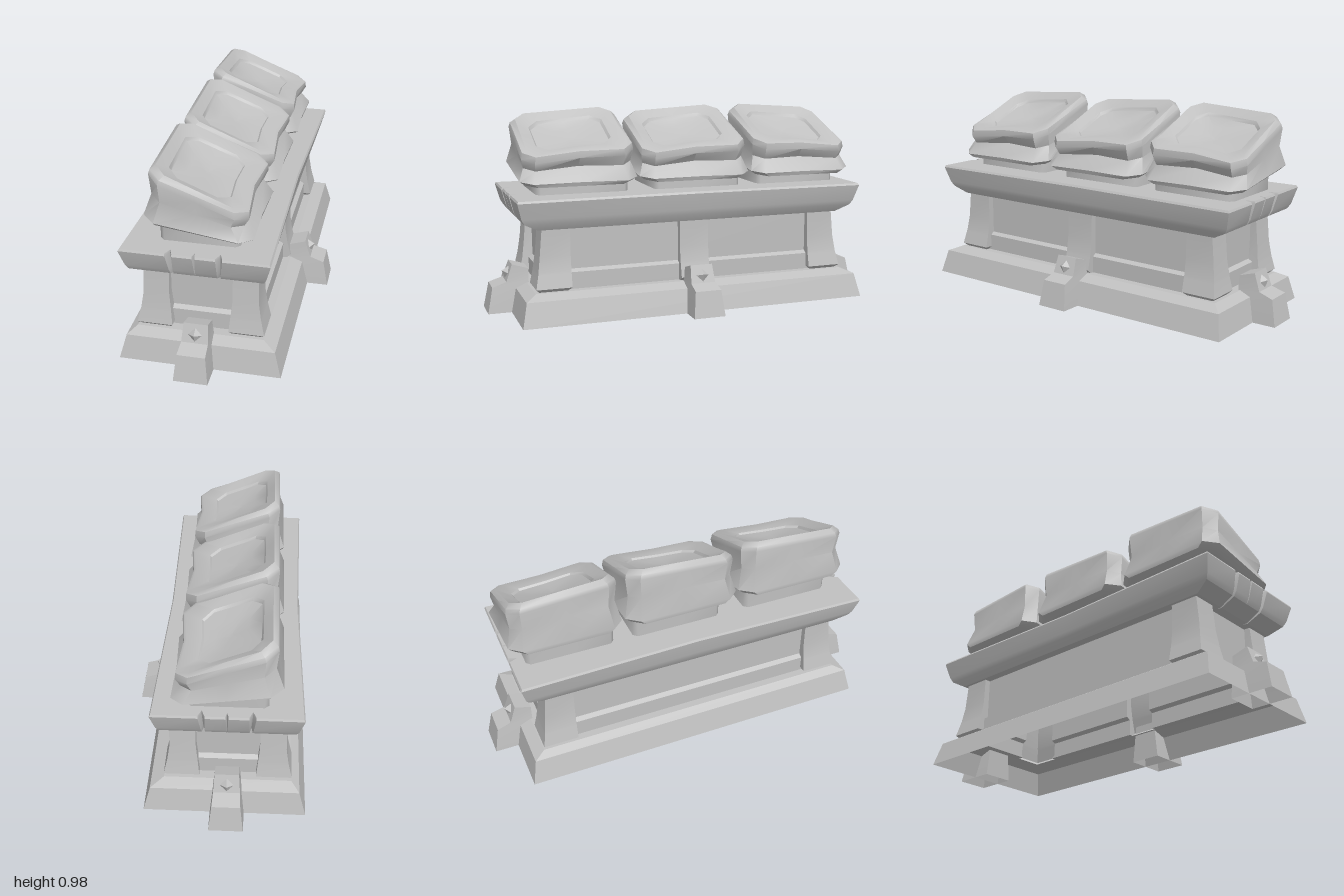
import * as THREE from 'three';
import { toCreasedNormals } from 'three/addons/utils/BufferGeometryUtils.js';

const CX = -0.067; // centre line of the plinth, which is offset by the side buttress

// Skin a stack of rings (each counter-clockwise from above), optionally closing the ends
function loft(rings, { bottom = true, top = true, crease = 0.35 } = {}) {
  const n = rings[0].length, pos = rings.flat(2), index = [];
  for (let r = 0; r < rings.length - 1; r++) {
    for (let i = 0; i < n; i++) {
      const j = (i + 1) % n, a = r * n + i, b = r * n + j;
      index.push(a, b, b + n, a, b + n, a + n);
    }
  }
  const cap = (r, flip) => {
    for (const [a, b, c] of THREE.ShapeUtils.triangulateShape(plan(rings[r]), [])) {
      const o = r * n;
      index.push(o + a, o + (flip ? c : b), o + (flip ? b : c));
    }
  };
  if (bottom) cap(0, true);
  if (top) cap(rings.length - 1, false);
  const g = new THREE.BufferGeometry();
  g.setAttribute('position', new THREE.Float32BufferAttribute(pos, 3));
  g.setIndex(index);
  return toCreasedNormals(g, crease);
}

// Ring seen from above as 2D points
const plan = ring => ring.map(p => new THREE.Vector2(p[0], -p[2]));

// Flat plate between an outer and an inner ring
function plate(outer, inner, y) {
  const shape = new THREE.Shape(plan(outer));
  shape.holes.push(new THREE.Path(plan(inner)));
  return new THREE.ShapeGeometry(shape).rotateX(-Math.PI / 2).translate(0, y, 0);
}

// Rectangular ring between two corners
const rect = (y, x0, x1, z0, z1) => [[x1, y, z1], [x1, y, z0], [x0, y, z0], [x0, y, z1]];
const centred = (y, hx, hz, cx = CX) => rect(y, cx - hx, cx + hx, -hz, hz);

// Chamfered ring tilted along x, with a slight dent in its +x side
function tiltedRing(xL, yL, xR, yR, hz, chamfer, dent = 0, roll = 0) {
  const c = chamfer, m = (xL + xR) / 2;
  const outline = [
    [xR - c, hz], [xR, hz - c], [xR - dent, 0], [xR, c - hz], [xR - c, -hz], [m, -hz],
    [xL + c, -hz], [xL, c - hz], [xL, 0], [xL, hz - c], [xL + c, hz], [m, hz],
  ];
  return outline.map(([x, z]) =>
    [x, yL + (yR - yL) * (x - xL) / (xR - xL) - roll * z / hz, z]);
}

// Body outline: corner pillars (xo, xi, zo, zi) around recessed panels (px, pz),
// with a middle pillar on the +x side only
function bodyRing([y, xo, xi, zo, zi, px, pz]) {
  const m = 0.075;
  return [
    [xo, zo], [xo, zi], [px, zi], [px, m], [xo, m], [xo, -m], [px, -m], [px, -zi], [xo, -zi],
    [xo, -zo], [xi, -zo], [xi, -pz], [-xi, -pz], [-xi, -zo],
    [-xo, -zo], [-xo, -zi], [-px, -zi], [-px, zi], [-xo, zi],
    [-xo, zo], [-xi, zo], [-xi, pz], [xi, pz], [xi, zo],
  ].map(([x, z]) => [CX + x, y, z]);
}

// Cornice outline with sides bowed inwards and three V notches cut into each end
function corniceRing([y, hx, hz, bow, offset, w, d, midW, midD]) {
  const half = [[hx - bow, 0], [hx, -hz]];
  for (const [x, nw, nd] of [[offset, w, d], [0, midW, midD], [-offset, w, d]]) {
    half.push([x + nw, -hz], [x, nd - hz], [x - nw, -hz]);
  }
  half.push([-hx, -hz]);
  return [...half, ...half.map(([x, z]) => [-x, -z])].map(([x, z]) => [CX + x, y, z]);
}

export function createModel() {
  const model = new THREE.Group();
  const stone = new THREE.MeshStandardMaterial({ color: 0xc0c0c0, side: THREE.DoubleSide });
  stone.name = 'grey stone';
  const add = (name, geometry, parent = model) => {
    const mesh = new THREE.Mesh(geometry, stone);
    mesh.name = name;
    parent.add(mesh);
    return mesh;
  };

  // Hollow sloping base
  const baseTop = centred(0.14, 0.298, 0.805);
  add('base', loft([
    centred(0, 0.38, 0.885, -0.055), centred(0.117, 0.348, 0.86, -0.055), baseTop,
  ], { bottom: false, top: false }));

  // Hollow body: pillars curve in towards the top, panels have a bevelled ledge at the foot
  const bodyRings = [
    [0.14, 0.28, 0.142, 0.785, 0.645, 0.26, 0.757],
    [0.157, 0.299, 0.132, 0.802, 0.628, 0.26, 0.757],
    [0.222, 0.284, 0.139, 0.789, 0.628, 0.26, 0.757],
    [0.235, 0.281, 0.14, 0.787, 0.628, 0.238, 0.735],
    [0.31, 0.27, 0.148, 0.777, 0.628, 0.238, 0.735],
    [0.44, 0.268, 0.148, 0.765, 0.628, 0.238, 0.735],
  ].map(bodyRing);
  add('body', loft(bodyRings, { bottom: false, top: false }));
  add('baseTop', plate(baseTop, bodyRings[0], 0.14));

  // Flared hollow cornice: y, half sizes, bow, then notch offset, widths and depths
  const corniceRings = [
    [0.44, 0.281, 0.782, 0, 0.104, 0.003, 0.025, 0.001, 0.001],
    [0.475, 0.306, 0.852, 0.005, 0.106, 0.007, 0.035, 0.001, 0.001],
    [0.5, 0.318, 0.866, 0.01, 0.108, 0.009, 0.035, 0.002, 0.006],
    [0.58, 0.341, 0.887, 0.02, 0.113, 0.015, 0.04, 0.006, 0.03],
    [0.59, 0.335, 0.882, 0.02, 0.113, 0.016, 0.04, 0.007, 0.03],
  ].map(corniceRing);
  add('cornice', loft(corniceRings, { bottom: false, crease: 0.5 }));
  add('corniceUnderside', plate(corniceRings[0], bodyRings.at(-1), 0.44));

  // Hollow buttresses with a pyramid stud, built facing +x
  const buttress = (x, z, turn) => {
    const g = new THREE.Group();
    g.name = 'buttress';
    g.position.set(x, 0, z);
    g.rotation.y = turn;
    const head = rect(0.235, 0.225, 0.305, -0.056, 0.056);
    head[2][1] = head[3][1] = 0.21;
    add('buttressBlock', loft([
      rect(0, 0.225, 0.43, -0.08, 0.08), rect(0.127, 0.225, 0.405, -0.066, 0.066),
      rect(0.15, 0.225, 0.335, -0.062, 0.062), head,
    ], { bottom: false }), g);
    const cone = new THREE.ConeGeometry(0.036, 0.03, 4).toNonIndexed();
    cone.computeVertexNormals();
    const stud = add('buttressStud', cone, g);
    stud.position.set(0.333, 0.19, 0);
    stud.rotation.z = -Math.PI / 2 + 0.32;
    model.add(g);
  };
  buttress(0, 0, 0);
  buttress(CX, 0.57, -Math.PI / 2);
  buttress(CX, -0.57, Math.PI / 2);

  // Three slanted key blocks; the rearmost rolls the other way
  for (const [z, size, side] of [[0.559, 1, 1], [-0.034, 1, 1], [-0.617, 0.95, -1]]) {
    const key = new THREE.Group();
    key.name = 'keyBlock';
    key.position.z = z;
    const roll = 0.015 * side;
    const stem = add('keyStem', loft([
      tiltedRing(-0.25, 0.585, 0.115, 0.585, 0.228, 0.02),
      tiltedRing(-0.25, 0.72, 0.11, 0.68, 0.228, 0.02),
    ], { crease: 0.9 }), key);
    stem.position.z = -0.02 * side;
    add('keyCap', loft([
      tiltedRing(-0.25, 0.682, 0.148, 0.632, 0.24, 0.05),
      tiltedRing(-0.306, 0.7, 0.17, 0.634, 0.262, 0.055),
      tiltedRing(-0.31, 0.724, 0.182, 0.652, 0.29, 0.058, 0.008),
      tiltedRing(-0.275, 0.828, 0.137, 0.715, 0.265, 0.05, 0.03, roll * 0.5),
      tiltedRing(-0.284, 0.93, 0.16, 0.758, 0.276, 0.055, 0.018, roll),
      tiltedRing(-0.278, 0.95, 0.158, 0.79, 0.27, 0.055, 0.02, roll),
      tiltedRing(-0.255, 0.967, 0.145, 0.799, 0.247, 0.05, 0.02, roll),
      tiltedRing(-0.215, 0.928, 0.065, 0.811, 0.188, 0.05, 0.008, roll),
    ], { top: false, crease: 0.75 }), key);
    // Shallow dish in the top
    add('keyDish', loft([
      tiltedRing(-0.215, 0.928, 0.065, 0.811, 0.188, 0.05, 0.008, roll),
      tiltedRing(-0.207, 0.91, 0.056, 0.803, 0.178, 0.045, 0.008, roll),
      tiltedRing(-0.15, 0.874, 0, 0.815, 0.1, 0.03, 0, roll * 0.5),
      tiltedRing(-0.085, 0.84, -0.065, 0.832, 0.015, 0.004),
    ], { bottom: false, crease: 0.6 }), key);
    key.scale.z = size;
    model.add(key);
  }
  return model;
}
